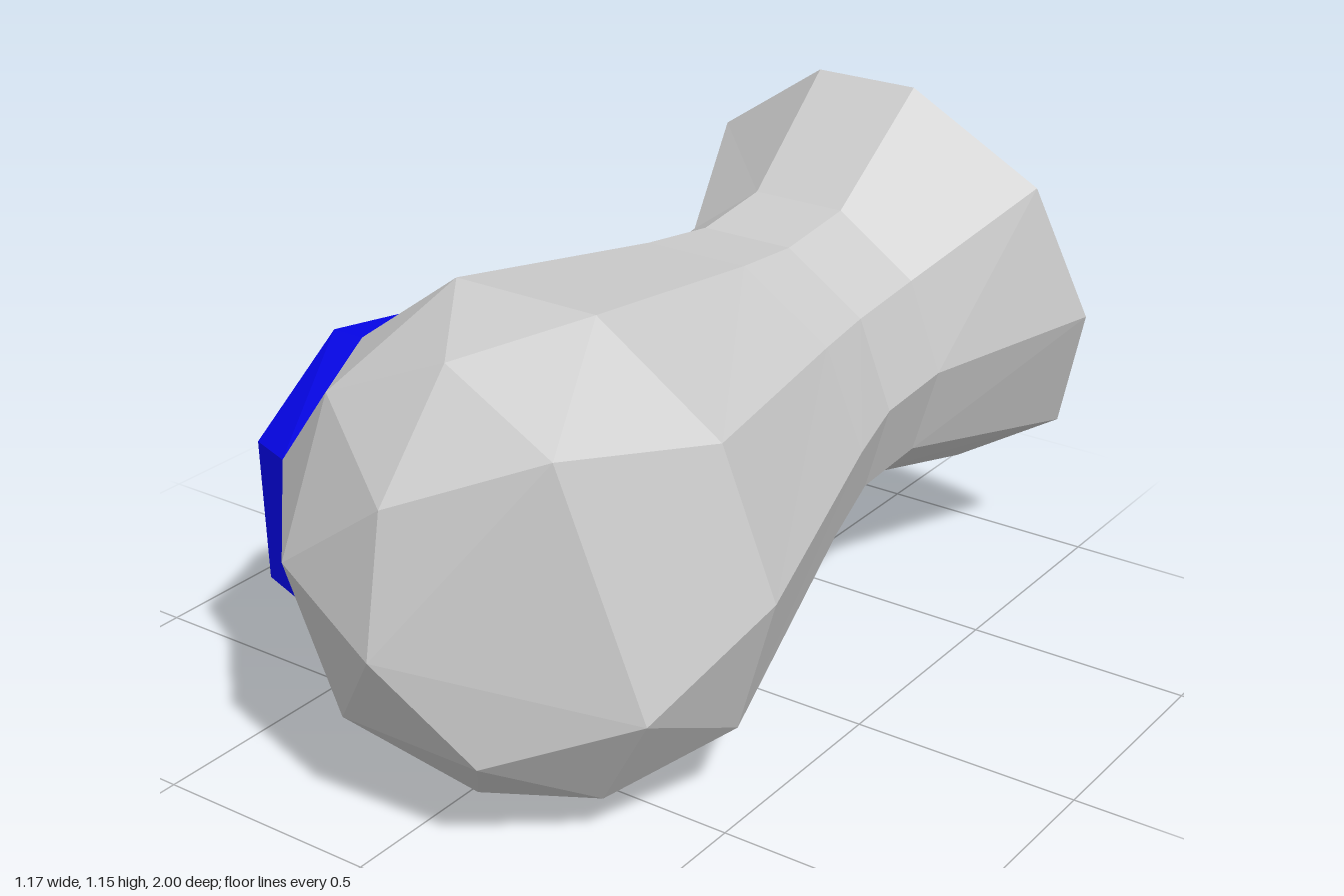
import * as THREE from 'three';

const CX = 0.042, TILT = 0.1;
const rad = THREE.MathUtils.degToRad;

// Point on the tilted dome: polar angle from its front pole, azimuth around z
function dome(polar, az) {
  const r = 0.54;
  return new THREE.Vector3(
    r * Math.sin(rad(polar)) * Math.cos(rad(az)),
    r * Math.sin(rad(polar)) * Math.sin(rad(az)),
    r * Math.cos(rad(polar))
  ).applyAxisAngle(new THREE.Vector3(1, 0, 0), -TILT * -1).add(new THREE.Vector3(CX, 0.517, 0.46));
}

// Ten-sided tilted ring; lean is the z shift per unit of height
function ring(y, z, rx, ry, lean, topHalf = rx * Math.cos(rad(72))) {
  return Array.from({ length: 10 }, (_, i) => {
    const c = Math.cos(rad(36 * i)), dy = ry * Math.sin(rad(36 * i));
    const dx = Math.abs(c) < 0.4 ? Math.sign(c) * topHalf : rx * c;
    return new THREE.Vector3(CX + dx, y + dy, z + lean * dy);
  });
}

// Flat-shaded mesh from convex polygons given as corner lists
function polyMesh(name, polys, color) {
  const pts = [];
  for (const p of polys)
    for (let i = 1; i < p.length - 1; i++) pts.push(p[0], p[i], p[i + 1]);
  const geo = new THREE.BufferGeometry().setFromPoints(pts);
  geo.computeVertexNormals();
  const mesh = new THREE.Mesh(geo, new THREE.MeshStandardMaterial({ color, flatShading: true }));
  mesh.name = name;
  return mesh;
}

const MID = 31.72, OUT = 63.43, SIDE = 58.28;

// Rounded front: half of a subdivided icosahedron with one flattened facet
function domeFaces() {
  const faces = [], pole = dome(0, 0);
  for (let k = 0; k < 5; k++) {
    const a = 90 + 72 * k;
    const cutA = k === 4, cutB = k === 3; // the flattened facet lies at azimuth 18
    const M = dome(MID, a), O = dome(OUT, a), N = dome(SIDE, a + 36);
    const M2 = dome(MID, a + 72), O2 = dome(OUT, a + 72);
    const e0 = dome(90, a - 18), e1 = dome(90, a + 18), e2 = dome(90, a + 54);
    if (!cutA && !cutB) faces.push([pole, M, M2], [M, N, M2]);
    if (!cutA) faces.push([M, O, N], [O, e0, e1], [O, e1, N]);
    if (!cutB) faces.push([N, O2, M2], [N, e2, O2]);
    faces.push([N, e1, e2]);
  }
  const low = dome(SIDE, -18), high = dome(SIDE, 54);
  faces.push([pole, dome(MID, -54), low, high, dome(MID, 90)]);
  faces.push([high, low, dome(90, 0), dome(90, 36)]);
  // close the gaps left beside the cut, if any
  return faces;
}

export function createModel() {
  const group = new THREE.Group();
  group.name = 'flaredBody';

  const rings = [
    Array.from({ length: 10 }, (_, i) => dome(90, 36 * i)),
    ring(0.578, -0.095, 0.385, 0.381, 0.124),
    ring(0.595, -0.275, 0.343, 0.342, 0.108),
    ring(0.615, -0.47, 0.348, 0.347, 0.09),
    ring(0.656, -0.855, 0.503, 0.524, 0.29, 0.121),
  ];

  // Tapered body, neck and flared end
  const sides = [];
  for (let s = 0; s < 4; s++)
    for (let i = 0; i < 10; i++) {
      const j = (i + 1) % 10, f = rings[s], b = rings[s + 1];
      sides.push([f[i], b[i], b[j], f[j]]);
    }
  group.add(polyMesh('roundedFront', domeFaces(), 0xcccccc));
  group.add(polyMesh('taperedBody', sides, 0xcccccc));
  group.add(polyMesh('endCap', [[...rings[4]].reverse()], 0xcccccc));

  // Raised blue panel on the right side: inner points on the body, outer points offset
  const shift = (p, x, z = 0) => p.clone().add(new THREE.Vector3(x, 0, z));
  const rows = [4, 5, 6].map((i) => {
    const inner = [rings[0][i], rings[0][i].clone().lerp(rings[1][i], 0.65), rings[2][i]];
    const dx = i === 5 ? [-0.09, -0.025, -0.075] : [-0.075, -0.07, -0.07];
    return { inner, outer: inner.map((p, s) => shift(p, dx[s], i === 5 && s === 0 ? 0.02 : 0)) };
  });
  const noseIn = [dome(OUT, 162), dome(SIDE, 198)];
  const noseOut = noseIn.map((p) => shift(p, -0.1, -0.035));
  const [top, mid, low] = rows.map((r) => r.outer);
  const panel = [
    [noseOut[0], top[0], mid[0]], [noseOut[0], mid[0], noseOut[1]], [noseOut[1], mid[0], low[0]],
  ];
  for (let s = 0; s < 2; s++)
    for (const [a, b] of [[top, mid], [mid, low]]) panel.push([a[s], a[s + 1], b[s + 1], b[s]]);
  const loop = (n, [t, m, l]) => [n[0], ...t, m[2], l[2], l[1], l[0], n[1]];
  const inLoop = loop(noseIn, rows.map((r) => r.inner));
  const outLoop = loop(noseOut, [top, mid, low]);
  inLoop.forEach((p, i) => {
    const j = (i + 1) % inLoop.length;
    panel.push([p, inLoop[j], outLoop[j], outLoop[i]]);
  });
  group.add(polyMesh('sidePanel', panel, 0x0505e6));

  return group;
}
